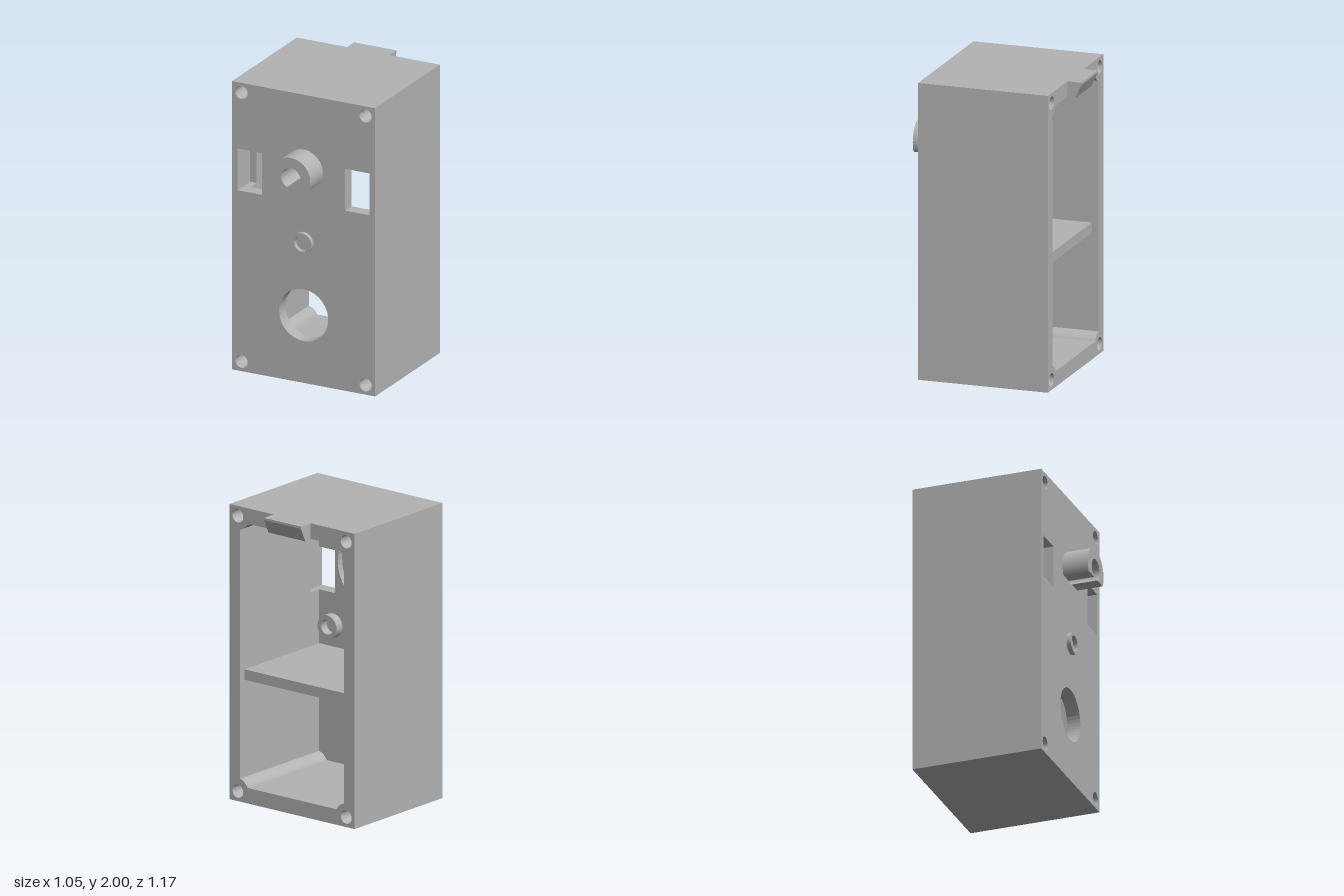
import * as THREE from 'three';

const HALF_W = 0.525, HEIGHT = 2, BACK = -0.487, FRONT = 0.408;
const IN_X = 0.437, IN_Y = 0.105;            // inner wall faces
const HOLE_X = 0.455, HOLE_Y = 0.0675, HOLE_R = 0.045, POST_R = 0.09;
const WALL_Z = 0.318, RECESS_Z = 0.363, POCKET_Z = 0.233;
const WIN = { x0: 0.305, x1: 0.485, y0: 1.25, y1: 1.54 };

const circle = (x, y, r) => new THREE.Path().absarc(x, y, r, 0, Math.PI * 2, false);

const polygon = (points) => new THREE.Path(points.map(([x, y]) => new THREE.Vector2(x, y)));

// Outer rectangle with the four screw holes
function caseShape() {
  const s = new THREE.Shape();
  s.moveTo(-HALF_W, 0);
  s.lineTo(HALF_W, 0);
  s.lineTo(HALF_W, HEIGHT);
  s.lineTo(-HALF_W, HEIGHT);
  s.closePath();
  for (const x of [-HOLE_X, HOLE_X])
    for (const y of [HOLE_Y, HEIGHT - HOLE_Y]) s.holes.push(circle(x, y, HOLE_R));
  return s;
}

// Cavity outline: corners are rounded inwards by the screw posts
function cavity(withPockets) {
  const a0 = Math.asin((IN_Y - HOLE_Y) / POST_R);
  const a1 = Math.acos((HOLE_X - IN_X) / POST_R);
  const corner = (sx, top, reverse) => {
    const pts = [];
    for (let i = 0; i <= 8; i++) {
      const a = a0 + (a1 - a0) * i / 8;
      const y = HOLE_Y + POST_R * Math.sin(a);
      pts.push([sx * (HOLE_X - POST_R * Math.cos(a)), top ? HEIGHT - y : y]);
    }
    return reverse ? pts.reverse() : pts;
  };
  const pocket = (sx) => [[IN_X, WIN.y0], [WIN.x1, WIN.y0], [WIN.x1, WIN.y1], [IN_X, WIN.y1]]
    .map(([x, y]) => [sx * x, y]);
  return polygon([
    ...corner(1, false, false),
    ...(withPockets ? pocket(1) : []),
    ...corner(1, true, true),
    ...corner(-1, true, false),
    ...(withPockets ? pocket(-1).reverse() : []),
    ...corner(-1, false, true),
  ]);
}

export function createModel() {
  const group = new THREE.Group();
  const grey = new THREE.MeshStandardMaterial({ color: 0xb3b3b3 });
  grey.name = 'grey plastic';

  const add = (name, geometry) => {
    const mesh = new THREE.Mesh(geometry, grey);
    mesh.name = name;
    group.add(mesh);
    return mesh;
  };
  const slab = (name, shape, z0, z1) => {
    const g = new THREE.ExtrudeGeometry(shape, { depth: z1 - z0, bevelEnabled: false, curveSegments: 24 });
    return add(name, g.translate(0, 0, z0));
  };
  const ring = (name, x, y, outer, inner, z0, z1) => {
    const s = new THREE.Shape();
    s.absarc(x, y, outer, 0, Math.PI * 2, false);
    s.holes.push(circle(x, y, inner));
    return slab(name, s, z0, z1);
  };

  // Side walls, with pockets beside the windows near the front
  const rear = caseShape();
  rear.holes.push(cavity(false));
  slab('sideWalls', rear, BACK, POCKET_Z);
  const pocketed = caseShape();
  pocketed.holes.push(cavity(true));
  slab('pocketedSideWalls', pocketed, POCKET_Z, WALL_Z);

  // Front panel in two layers: a round recess inside, a shaft hole outside
  const panel = (name, shaftR, z0, z1) => {
    const s = caseShape();
    for (const sx of [-1, 1]) {
      s.holes.push(polygon([[WIN.x0, WIN.y0], [WIN.x1, WIN.y0], [WIN.x1, WIN.y1], [WIN.x0, WIN.y1]]
        .map(([x, y]) => [sx * x, y])));
    }
    s.holes.push(circle(0, 0.47, 0.18), circle(0, 1.478, shaftR));
    slab(name, s, z0, z1);
  };
  panel('frontPanelInner', 0.28, WALL_Z, RECESS_Z);
  panel('frontPanelOuter', 0.071, RECESS_Z, FRONT);

  // Shaft collar with a flat underside, slit open where it meets the bore
  const flat = 0.065, outer = 0.142, bore = 0.071;
  const a = Math.asin(flat / outer), b = Math.asin(flat / bore);
  const collar = new THREE.Shape();
  collar.absarc(0, 1.478, outer, -a, Math.PI + a, false);
  collar.absarc(0, 1.478, bore, Math.PI + b, -b, true);
  collar.closePath();
  slab('shaftCollar', collar, FRONT, 0.584);

  // Small front ring and the standoffs inside
  ring('frontRing', 0, 0.975, 0.073, 0.053, FRONT, 0.438);
  ring('innerRing', 0, 0.975, 0.085, 0.053, WALL_Z - 0.03, WALL_Z);
  for (const x of [-0.32, 0.32])
    for (const y of [1.03, 1.79]) ring('standoff', x, y, 0.08, 0.05, WALL_Z - 0.06, WALL_Z);

  // Shelf across the cavity
  const shelfBack = -0.44;
  add('shelf', new THREE.BoxGeometry(IN_X * 2, 0.07, WALL_Z - shelfBack))
    .position.set(0, 0.85, (WALL_Z + shelfBack) / 2);

  // Hooked lip on the top of the back edge
  const lip = new THREE.Shape([[0.487, 1.89], [0.54, 1.89], [0.585, 1.985], [0.585, 2], [0.487, 2]]
    .map(([x, y]) => new THREE.Vector2(x, y)));
  const lipGeometry = new THREE.ExtrudeGeometry(lip, { depth: 0.31, bevelEnabled: false });
  add('backLip', lipGeometry.translate(0, 0, -0.155).rotateY(Math.PI / 2));

  return group;
}
